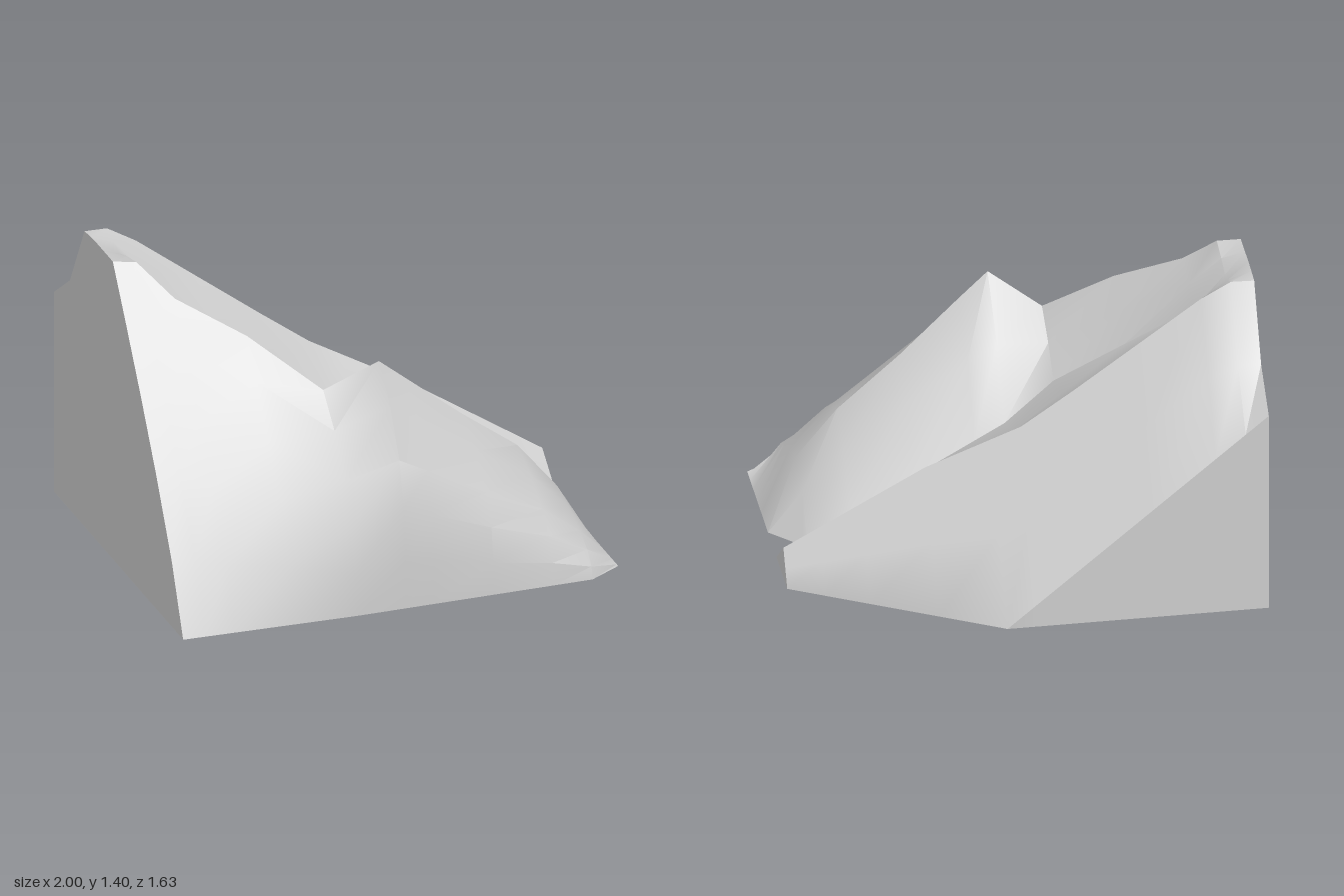
import * as THREE from 'three';
import { toCreasedNormals } from 'three/addons/utils/BufferGeometryUtils.js';

const { lerp, clamp } = THREE.MathUtils;

// Feature lines of the rock, running along x
const ridge = [ // x, y, z
  [-1, 1.4, -0.08], [-0.9, 1.39, -0.06], [-0.77, 1.25, 0.06], [-0.5, 1.1, 0.22],
  [-0.22, 0.88, 0.4], [0, 1.02, 0.49], [0.13, 0.91, 0.47], [0.4, 0.68, 0.42],
  [0.67, 0.47, 0.38], [0.85, 0.25, 0.38], [1, 0, 0.36],
];
const valley = [ // x, y, z
  [-1, 1.4, -0.28], [-0.9, 1.34, -0.27], [-0.77, 1.17, -0.24], [-0.22, 0.68, 0.1],
  [0, 0.52, 0.05], [0.4, 0.3, 0.04], [0.85, 0.03, 0.05], [1, 0, 0.05],
];
const rim = [[-1, -0.43], [-0.22, -0.39], [0, -0.375], [0.4, -0.29], [1, -0.21]]; // x, z
const foot = [[-1, 0.79], [-0.22, 0.82], [0.85, 0.82], [1, 0.73]]; // x, z
const bulge = [[-1, 1.2], [-0.5, 1.4], [0, 3.4], [0.4, 3.5], [1, 2]]; // x, roundness of the front

// Reads one value of a feature line at x
function at(line, x, col = 1) {
  const i = Math.max(1, line.findIndex((p) => p[0] >= x));
  const [a, b] = [line[i - 1], line[i]];
  return lerp(a[col], b[col], (x - a[0]) / (b[0] - a[0]));
}

// Flat slanted cut across the back, and its rear outline
const cutY = (x, z) => clamp(-0.83 * (x - 0.13) + 1.447 * (z + 0.81), 0, 1.39);
const rearZ = (x) => -0.81 + Math.max(0, x - 0.13) * 0.575;

// Closed ring at x: front, ridge, back slope, valley, cliff, cut, rear, base
function ring(x) {
  const [ry, rz, vy, vz] = [at(ridge, x), at(ridge, x, 2), at(valley, x), at(valley, x, 2)];
  const [fz, ez, end] = [at(foot, x), at(rim, x), rearZ(x)];
  const vx = x === 1 ? 0.87 : x; // the valley ends in a notch
  const front = [0, 0.22, 0.45, 0.65, 0.85, 1].map((t) => [x, ry * t, lerp(fz, rz, t ** at(bulge, x))]);
  const fullness = lerp(0.45, 0.3, clamp(x * 2.5, 0, 1));
  const [cliffZ, cliffY] = x === 1 ? [0.3, 0] : [0.5, 0.35];
  const midZ = x > -0.9 ? (ez + end) / 2 : -0.61;
  const midY = x > -0.9 ? cutY(x, midZ) : 1.08; // chipped rear corner
  return [
    ...front,
    [x, lerp(ry, vy, fullness), lerp(rz, vz, 0.55)],
    [vx, vy, vz],
    [x, lerp(vy, cutY(x, ez), cliffY), lerp(vz, ez, cliffZ)],
    [x, cutY(x, ez), ez],
    [x, midY, midZ],
    [x, cutY(x, end), end],
    [x, 0, end],
    [vx, 0, vz],
  ];
}

function rockGeometry() {
  const rings = ridge.map(([x]) => ring(x));
  const n = rings[0].length;
  const pos = [];
  const tri = (a, b, c) => pos.push(...a, ...b, ...c);

  // skin between neighbouring rings
  for (let i = 0; i < rings.length - 1; i++) {
    for (let j = 0; j < n; j++) {
      const k = (j + 1) % n;
      const [a, b, c, d] = [rings[i][j], rings[i + 1][j], rings[i + 1][k], rings[i][k]];
      tri(a, b, c);
      tri(a, c, d);
    }
  }
  // tall side wall
  const first = rings[0];
  const hub = [-1, 0.45, -0.15];
  for (let j = 0; j < n; j++) tri(hub, first[j], first[(j + 1) % n]);
  // small end face of the rear tip
  const last = rings[rings.length - 1];
  for (let j = 9; j < 12; j++) tri(last[8], last[j + 1], last[j]);

  const geo = new THREE.BufferGeometry();
  geo.setAttribute('position', new THREE.Float32BufferAttribute(pos, 3));
  return toCreasedNormals(geo, 0.62);
}

export function createModel() {
  const group = new THREE.Group();
  group.name = 'rock';
  const rock = new THREE.Mesh(rockGeometry(), new THREE.MeshStandardMaterial({ color: 0xcccccc }));
  rock.name = 'rockBody';
  group.add(rock);
  return group;
}
